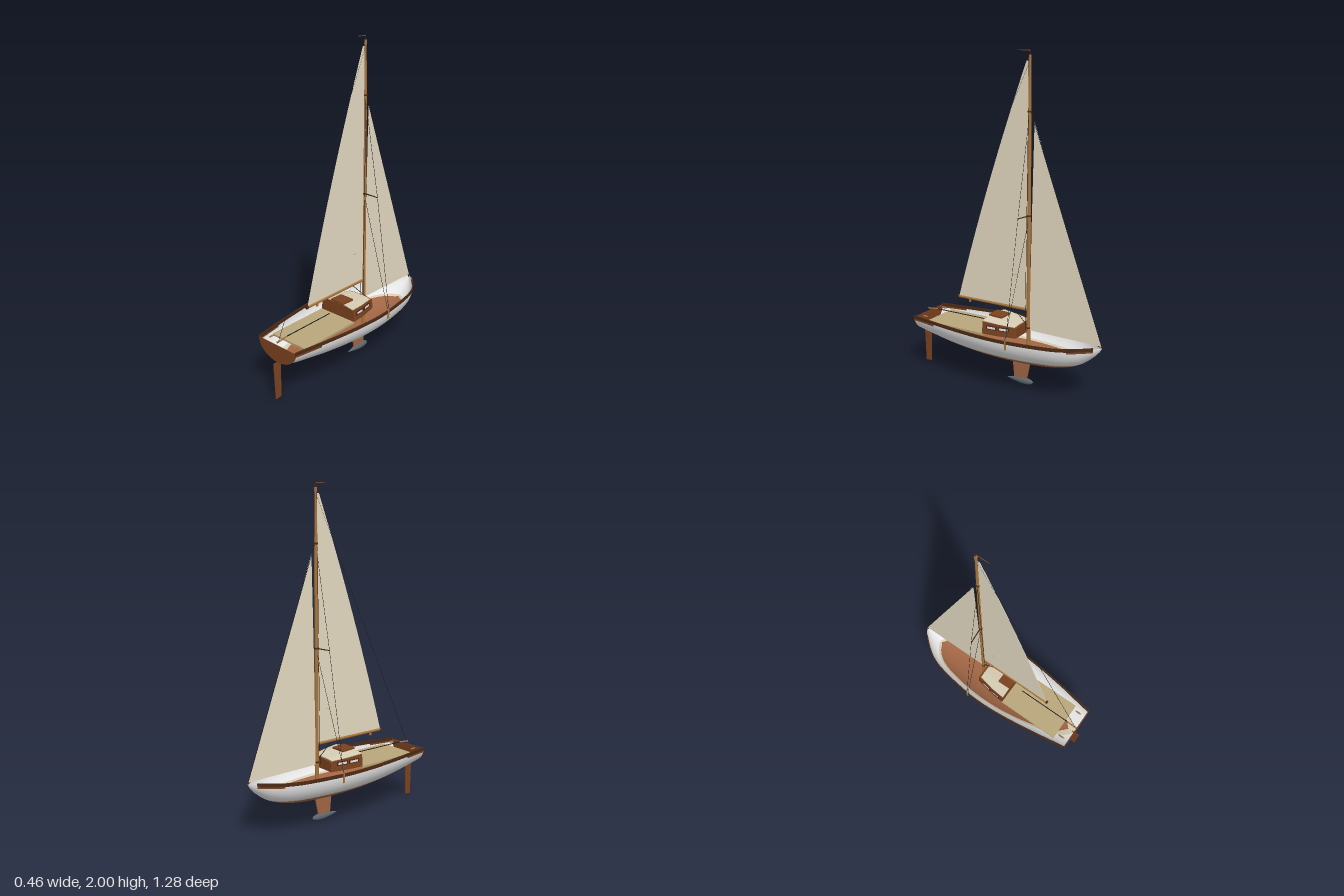
import * as THREE from 'three';

const mat = (name, color, side = THREE.FrontSide) => {
  const m = new THREE.MeshStandardMaterial({ color, side });
  m.name = name;
  return m;
};

export function createModel() {
  const D = THREE.DoubleSide;
  const white = mat('hull white', 0xe9e9e9, D), copper = mat('bottom paint', 0xa06544, D),
    cream = mat('cream canvas', 0xd6ccb3, D), sail = mat('sailcloth', 0xe4dac2, D),
    tan = mat('cockpit teak', 0xb8a67c), wood = mat('varnished spar', 0xa8743c),
    brown = mat('mahogany', 0x7a4220), dark = mat('dark trim', 0x4c2a15),
    black = mat('rigging black', 0x1c1c1c), grey = mat('lead grey', 0x5c636b);
  const group = new THREE.Group();
  const V = (x, y, z) => new THREE.Vector3(x, y, z);

  const add = (name, geo, material, x = 0, y = 0, z = 0) => {
    const m = new THREE.Mesh(geo, material);
    m.name = name;
    m.position.set(x, y, z);
    group.add(m);
    return m;
  };
  const box = (name, m, w, h, d, x, y, z) => add(name, new THREE.BoxGeometry(w, h, d), m, x, y, z);
  // Straight spar or wire between two points
  const rod = (name, m, a, b, r0, r1 = r0, sides = 6) => {
    const dir = b.clone().sub(a);
    const mesh = add(name, new THREE.CylinderGeometry(r1, r0, dir.length(), sides), m);
    mesh.position.copy(a).add(b).multiplyScalar(0.5);
    mesh.quaternion.setFromUnitVectors(V(0, 1, 0), dir.normalize());
  };
  // Flat plate drawn in the z, y plane
  const plate = (name, m, pts, t) => {
    const shape = new THREE.Shape(pts.map(p => new THREE.Vector2(...p)));
    const geo = new THREE.ExtrudeGeometry(shape, { depth: t, bevelEnabled: false });
    add(name, geo.translate(0, 0, -t / 2).rotateY(-Math.PI / 2), m);
  };
  // Solid through closed cross-sections, counter-clockwise and ordered towards +z
  const loft = (sections) => {
    const n = sections[0].length, idx = [], last = (sections.length - 1) * n;
    for (let i = 0; i < sections.length - 1; i++)
      for (let j = 0; j < n; j++) {
        const a = i * n + j, b = i * n + (j + 1) % n;
        idx.push(a, b, a + n, b, b + n, a + n);
      }
    for (let j = 1; j < n - 1; j++) idx.push(0, j + 1, j, last, last + j, last + j + 1);
    const g = new THREE.BufferGeometry();
    g.setAttribute('position', new THREE.Float32BufferAttribute(sections.flat(2), 3));
    g.setIndex(idx);
    const flat = g.toNonIndexed();
    flat.computeVertexNormals();
    return flat;
  };
  // Smooth interpolation through [z, value] points
  const profile = pts => z => {
    let k = 0;
    while (k < pts.length - 2 && z > pts[k + 1][0]) k++;
    const [z0, v0] = pts[k], [z1, v1] = pts[k + 1];
    const slope = i => {
      const a = pts[Math.max(i - 1, 0)], b = pts[Math.min(i + 1, pts.length - 1)];
      return (b[1] - a[1]) / (b[0] - a[0]);
    };
    const h = z1 - z0, t = Math.min(Math.max((z - z0) / h, 0), 1), s = 1 - t;
    return v0 * (1 + 2 * t) * s * s + slope(k) * h * t * s * s
      + v1 * t * t * (3 - 2 * t) - slope(k + 1) * h * t * t * s;
  };

  // Hull lines
  const BOW = -0.635, STERN = 0.605, SHEER = 0.345;
  const beam = profile([[BOW, 0], [-0.593, 0.055], [-0.48, 0.142], [-0.37, 0.184], [-0.135, 0.22],
    [0, 0.225], [0.15, 0.216], [0.356, 0.19], [STERN, 0.149]]);
  const keelLine = profile([[BOW, SHEER - 0.002], [-0.62, 0.318], [-0.58, 0.276], [-0.51, 0.225], [-0.4, 0.187],
    [-0.25, 0.17], [-0.1, 0.167], [0.1, 0.171], [0.3, 0.188], [0.5, 0.217], [STERN, 0.236]]);

  // Open hull shell: topsides, boot stripe and bottom paint
  {
    const N = 70, SIDE = 8, BOTTOM = 9, pos = [], idx = [], geo = new THREE.BufferGeometry();
    const mid = SIDE + 1 + BOTTOM, cols = 2 * mid + 1;
    for (let i = 0; i <= N; i++) {
      const z = BOW + (STERN - BOW) * Math.pow(i / N, 1.4);
      const w = beam(z), d = SHEER - keelLine(z);
      const angle = y => Math.asin(Math.min((SHEER - y) / d, 1));
      const aHi = angle(0.234), aLo = angle(0.224), half = [];
      for (let j = 0; j <= SIDE; j++) half.push(aHi * j / SIDE);
      for (let j = 0; j <= BOTTOM; j++) half.push(aLo + (Math.PI / 2 - aLo) * j / BOTTOM);
      const row = half.map(a => [-w * Math.cos(a), SHEER - d * Math.sin(a)]);
      row.push(...row.slice(0, -1).reverse().map(([x, y]) => [-x, y]));
      row.forEach(([x, y]) => pos.push(x, y, z));
    }
    const edges = [0, SIDE, SIDE + 1, cols - SIDE - 2, cols - SIDE - 1, cols - 1];
    [0, 1, 2, 1, 0].forEach((m, k) => {
      const start = idx.length;
      for (let j = edges[k]; j < edges[k + 1]; j++)
        for (let i = 0; i < N; i++) {
          const a = i * cols + j, b = a + cols;
          idx.push(a, a + 1, b, a + 1, b + 1, b);
        }
      geo.addGroup(start, idx.length - start, m);
    });
    geo.setAttribute('position', new THREE.Float32BufferAttribute(pos, 3));
    geo.setIndex(idx);
    geo.computeVertexNormals();
    add('hull', geo, [white, cream, copper]);
  }

  // Transom
  const ts = new THREE.Shape();
  ts.absellipse(0, 0, 0.15, SHEER - 0.235, Math.PI, Math.PI * 2, false, 0);
  add('transom', new THREE.ExtrudeGeometry(ts, { depth: 0.004, bevelEnabled: false, curveSegments: 24 }),
    brown, 0, SHEER, STERN - 0.001);

  // Gunwale rails, short rubbing strips, and cleats on both sides
  const rail = (s, z0, z1, y0, y1, inset, out) => {
    const secs = [];
    for (let i = 0; i <= 36; i++) {
      const z = z0 + (z1 - z0) * i / 36, w = beam(z);
      const xs = [s * (w - inset), s * (w + out)].sort((a, b) => a - b);
      secs.push([[xs[0], y0, z], [xs[1], y0, z], [xs[1], y1, z], [xs[0], y1, z]]);
    }
    return loft(secs);
  };
  for (const s of [-1, 1]) {
    add('gunwale', rail(s, -0.6, STERN + 0.003, 0.336, 0.355, 0.004, 0.004), dark);
    add('sternRubbingStrip', rail(s, 0.43, STERN, 0.325, 0.336, 0.003, 0.003), brown);
    add('bowRubbingStrip', rail(s, -0.6, -0.48, 0.326, 0.336, 0.006, 0.002), brown);
    const cleat = add('sternCleat', new THREE.SphereGeometry(1, 10, 6), wood, s * 0.1, 0.345, 0.555);
    cleat.scale.set(0.006, 0.005, 0.023);
  }

  // Cockpit sole
  box('cockpitSole', tan, 0.267, 0.012, 0.42, 0, 0.326, 0.305);

  // Cabin trunk with cambered roof
  const trunk = (z, w, y0, y1, camber, lean) => [[-w, y0, z], [w, y0, z], [w - lean, y1, z],
    [w * 0.5, y1 + camber, z], [-w * 0.5, y1 + camber, z], [-w + lean, y1, z]];
  add('cabin', loft([trunk(-0.12, 0.1, 0.33, 0.388, 0.006, 0.006), trunk(0, 0.124, 0.33, 0.398, 0.008, 0.006),
    trunk(0.097, 0.132, 0.33, 0.405, 0.01, 0.006)]), brown);
  add('cabinRoof', loft([trunk(-0.107, 0.088, 0.38, 0.394, 0.006, 0.001), trunk(0, 0.112, 0.39, 0.402, 0.008, 0.001),
    trunk(0.096, 0.122, 0.398, 0.41, 0.01, 0.001)]), cream);
  box('hatch', brown, 0.1, 0.01, 0.092, 0, 0.422, 0.055).rotation.x = -0.04;
  // Side windows in dark frames
  for (const s of [-1, 1]) for (const z of [-0.045, 0.035]) {
    const w = z < 0 ? 0.1125 : 0.1245, tilt = s * (z < 0 ? 0.197 : 0.082);
    box('windowFrame', dark, 0.006, 0.024, 0.07, s * w, 0.375, z).rotation.y = tilt;
    box('window', white, 0.008, 0.013, 0.055, s * w, 0.375, z).rotation.y = tilt;
  }

  // Keel fin, ballast bulb and rudder
  plate('keelFin', copper, [[-0.04, 0.18], [-0.055, 0.035], [-0.14, 0.035], [-0.17, 0.18]], 0.01);
  const bulb = [[0, -0.185], [0.011, -0.175], [0.018, -0.15], [0.02, -0.11], [0.014, -0.06], [0.006, -0.02], [0, 0.002]]
    .map(p => new THREE.Vector2(...p));
  add('ballastBulb', new THREE.LatheGeometry(bulb, 16).rotateX(Math.PI / 2), grey, 0, 0.027, 0);
  plate('rudder', brown, [[0.585, 0.237], [0.59, 0.003], [0.631, 0], [0.64, 0.237]], 0.006);

  // Tiller and its extension
  rod('tiller', wood, V(0, 0.362, 0.605), V(0, 0.37, 0.53), 0.006, 0.004);
  rod('tillerExtension', black, V(0, 0.37, 0.53), V(0, 0.372, 0.17), 0.003);

  // Mast, boom and burgee
  const MZ = -0.15;
  rod('mast', wood, V(0, 0.17, MZ), V(0, 1.66, MZ), 0.012, 0.01, 12);
  rod('topmast', wood, V(0, 1.66, MZ), V(0, 1.97, MZ), 0.009, 0.006, 12);
  for (const y of [0.375, 1.06, 1.66]) add('mastBand', new THREE.CylinderGeometry(0.0125, 0.0125, 0.01, 12), dark, 0, y, MZ);
  add('masthead', new THREE.CylinderGeometry(0.008, 0.008, 0.025, 8), wood, 0, 1.96, MZ);
  rod('burgeeStaff', dark, V(0, 1.96, MZ), V(0, 2, MZ), 0.002);
  plate('burgee', brown, [[-0.15, 1.993], [-0.15, 2], [-0.07, 2], [-0.1, 1.996]], 0.003);
  rod('boom', wood, V(0, 0.487, MZ + 0.01), V(0, 0.487, 0.365), 0.009, 0.008, 10);
  add('boomEnd', new THREE.CylinderGeometry(0.01, 0.01, 0.012, 10).rotateX(Math.PI / 2), dark, 0, 0.487, 0.36);
  box('sheetBlock', wood, 0.008, 0.018, 0.012, 0, 0.472, 0.275);
  rod('boomVang', black, V(0, 0.48, -0.045), V(0, 0.39, -0.138), 0.002);

  // Sails
  const leech = new THREE.QuadraticBezierCurve(new THREE.Vector2(0.355, 0.495), new THREE.Vector2(0.15, 1.22),
    new THREE.Vector2(-0.127, 1.94)).getPoints(20).map(p => [p.x, p.y]);
  plate('mainsail', sail, [[-0.138, 0.495], ...leech, [-0.14, 1.94]], 0.002);
  plate('jib', sail, [[-0.628, 0.355], [-0.158, 0.36], [-0.168, 1], [-0.182, 1.6]], 0.002);
  box('sailBatten', tan, 0.005, 0.003, 0.03, 0, 0.69, -0.062);

  // Fore and aft stays
  rod('forestay', black, V(0, 0.35, -0.633), V(0, 1.66, MZ - 0.008), 0.002);
  rod('backstay', black, V(0, 0.355, 0.6), V(0, 1.94, MZ), 0.0012);
  rod('stemFitting', dark, V(0, 0.335, -0.628), V(0, 0.358, -0.632), 0.004);

  // Halyards, spreaders, shrouds and chainplates on both sides
  for (const s of [-1, 1]) {
    const foot = V(s * 0.221, 0.36, -0.128), tip = V(s * 0.11, 1.06, -0.14);
    rod('halyard', black, V(s * 0.01, 0.36, -0.133), V(s * 0.009, 1.64, -0.146), 0.0014);
    rod('spreader', dark, V(0, 1.06, MZ), tip, 0.004, 0.003);
    rod('upperShroud', black, tip, V(0, 1.66, MZ), 0.0012);
    rod('capShroud', black, foot, tip, 0.0012);
    rod('lowerShroud', black, V(s * 0.219, 0.36, -0.12), V(0, 1.05, MZ), 0.0012);
    rod('turnbuckle', grey, V(s * 0.222, 0.35, -0.128), V(s * 0.219, 0.42, -0.129), 0.002);
    box('chainplate', wood, 0.007, 0.06, 0.012, s * 0.222, 0.33, -0.124);
  }
  return group;
}
